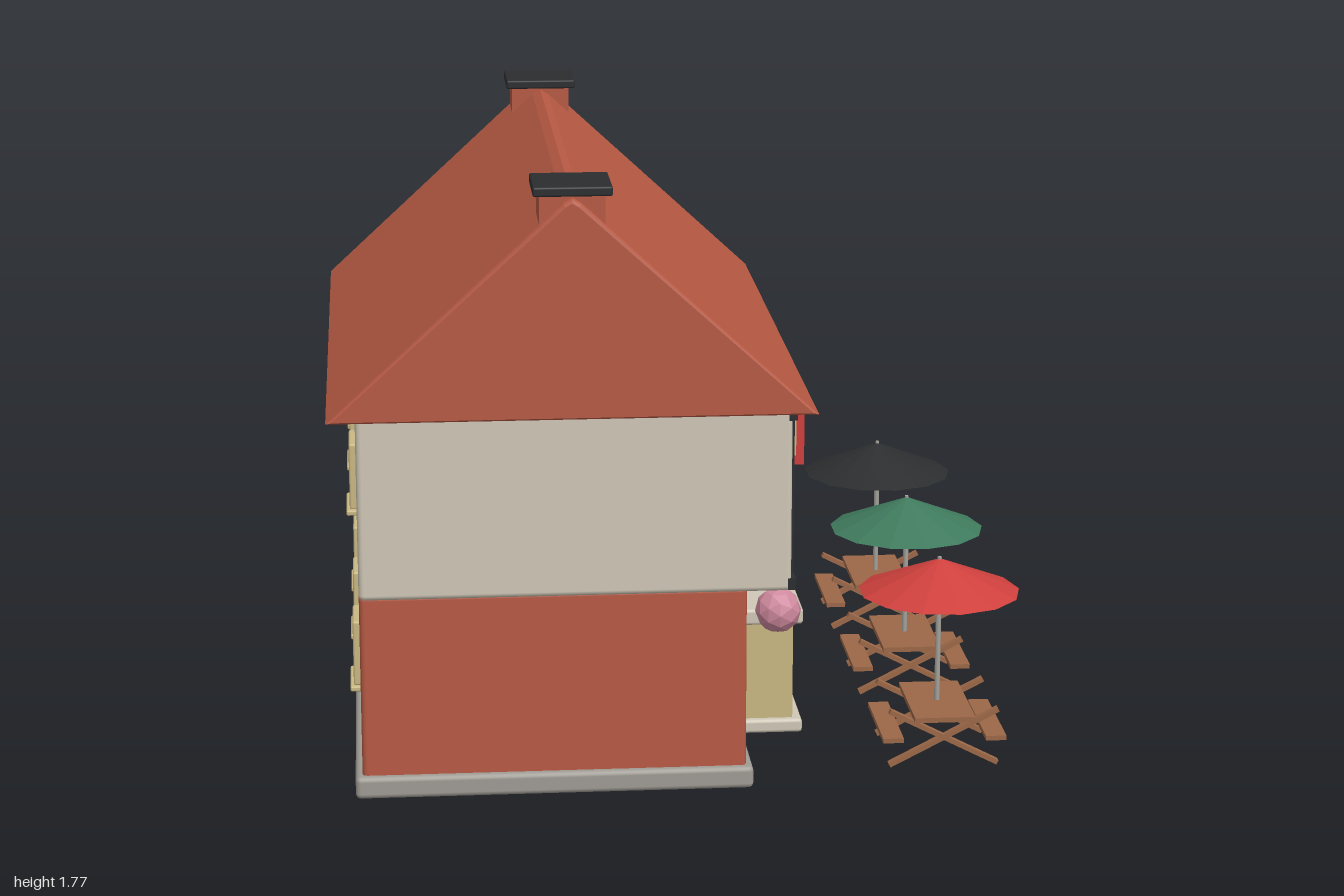
import * as THREE from 'three';
import { RoundedBoxGeometry } from 'three/addons/geometries/RoundedBoxGeometry.js';

const mat = (name, color, extra = {}) => {
  const m = new THREE.MeshStandardMaterial({ color, ...extra });
  m.name = name;
  return m;
};

export function createModel() {
  const brick = mat('brick red', 0xb85a44);
  const plaster = mat('plaster', 0xd0c8b7);
  const stone = mat('stone grey', 0x9f9b94);
  const timber = mat('black', 0x2b2d2f);
  const cream = mat('cream', 0xcbb984);
  const wood = mat('wood', 0x9c6848);
  const red = mat('red', 0xcf403d, { flatShading: true });
  const green = mat('green', 0x3f7a5d, { flatShading: true });
  const pink = mat('pink', 0xd08a9f, { flatShading: true });
  const pole = mat('pole grey', 0xa5a39c);

  const root = new THREE.Group();
  root.name = 'inn';

  const add = (name, geo, material, parent = root) => {
    const mesh = new THREE.Mesh(geo, material);
    mesh.name = name;
    parent.add(mesh);
    return mesh;
  };
  // Box given by its limits on each axis; r rounds the edges
  const box = (name, material, [x0, x1], [y0, y1], [z0, z1], r = 0, parent = root) => {
    const s = [x1 - x0, y1 - y0, z1 - z0];
    const geo = r ? new RoundedBoxGeometry(...s, 2, r) : new THREE.BoxGeometry(...s);
    const mesh = add(name, geo, material, parent);
    mesh.position.set((x0 + x1) / 2, (y0 + y1) / 2, (z0 + z1) / 2);
    return mesh;
  };
  const around = (c, half) => [c - half, c + half];
  const group = (name, x = 0, y = 0, z = 0) => {
    const g = new THREE.Group();
    g.name = name;
    g.position.set(x, y, z);
    root.add(g);
    return g;
  };

  // Walls
  box('plinth', stone, [-0.94, 0.19], [0, 0.065], [-0.935, 0.935], 0.015);
  box('lowerWalls', brick, [-0.92, 0.17], [0.01, 0.595], [-0.915, 0.915], 0.015);
  box('upperWalls', plaster, [-0.92, 0.29], [0.593, 1.125], [-0.955, 0.955], 0.015);

  // Gabled roof with softened edges
  const gable = new THREE.Shape([
    [-1, 1.11], [0.36, 1.11], [-0.295, 1.715], [-0.32, 1.73], [-0.345, 1.715],
  ].map(p => new THREE.Vector2(...p)));
  const bevel = 0.012;
  const roofGeo = new THREE.ExtrudeGeometry(gable, {
    depth: 1.97 - 2 * bevel, bevelEnabled: true, bevelThickness: bevel,
    bevelSize: bevel, bevelOffset: -bevel, bevelSegments: 2,
  });
  roofGeo.translate(0, 0, -0.985 + bevel);
  add('roof', roofGeo, brick);

  // Chimneys at both gables
  for (const s of [1, -1]) {
    box('chimney', brick, [-0.41, -0.23], [1.55, 1.738], around(s * 0.88, 0.09));
    box('chimneyCap', timber, [-0.428, -0.21], [1.735, 1.762], around(s * 0.88, 0.108), 0.006);
  }

  // Timber framing on the street side
  box('topBeam', timber, [0.28, 0.303], [1.088, 1.115], [-0.955, 0.955]);
  box('bottomBeam', timber, [0.28, 0.303], [0.597, 0.63], [-0.955, 0.955]);
  for (const z of [0.885, 0.555, 0.222, -0.222, -0.555, -0.885])
    box('post', timber, [0.28, 0.301], [0.6, 1.1], around(z, 0.017));
  for (const c of [0.555, -0.555]) {
    for (const s of [1, -1]) {
      const brace = box('brace', timber, [0.28, 0.3], around(0.865, 0.0135), around(c + s * 0.165, 0.135));
      brace.rotation.x = -s * 0.7;
    }
  }

  // Small windows; side is the outward x direction
  const windowAt = (side, x, y, z) => {
    box('window', cream, around(x + side * 0.008, 0.014), [y, y + 0.195], around(z, 0.082), 0.006);
    box('windowSill', cream, around(x + side * 0.012, 0.02), [y - 0.014, y + 0.002], around(z, 0.097), 0.005);
  };
  for (const z of [0.517, 0, -0.517]) windowAt(1, 0.29, 0.765, z);
  for (const y of [0.212, 0.745])
    for (const z of [0.48, 0, -0.48]) windowAt(-1, -0.92, y, z);

  // Bay windows
  for (const c of [0.555, -0.555]) {
    box('bayGlazing', cream, [0.15, 0.318], [0.14, 0.45], around(c, 0.215));
    box('bayRoof', plaster, [0.15, 0.345], [0.44, 0.487], around(c, 0.235), 0.01);
    box('baySill', plaster, [0.15, 0.345], [0.113, 0.153], around(c, 0.235), 0.01);
    for (const d of [-0.15, 0, 0.15])
      box('bayMullion', plaster, [0.3, 0.323], [0.15, 0.445], around(c + d, 0.009));
  }

  // Door and board above it
  box('door', timber, [0.15, 0.196], [0.035, 0.445], [-0.12, 0.12], 0.006);
  box('doorBoard', green, [0.16, 0.198], [0.505, 0.575], [-0.31, 0.31]);
  box('doorBoardPanel', cream, [0.197, 0.203], [0.522, 0.556], [-0.28, 0.28]);

  // Flower balls
  [[0.848, pink], [0.293, red], [-0.29, pink], [-0.855, pink]].forEach(([z, m]) =>
    add('flowerBall', new THREE.IcosahedronGeometry(0.066, 1), m).position.set(0.265, 0.505, z));

  // Hanging sign
  box('signBracket', timber, [0.28, 0.54], [0.709, 0.726], around(-0.845, 0.009));
  box('signBoard', red, [0.35, 0.545], [0.458, 0.692], around(-0.845, 0.01));
  box('signPanel', cream, [0.38, 0.518], [0.49, 0.662], around(-0.845, 0.013));

  // Picnic tables with parasols
  [[0.64, red], [0, green], [-0.64, timber]].forEach(([z, canopy]) => {
    const g = group('picnicTable', 0.76, 0, z);
    box('tableTop', wood, [-0.088, 0.088], [0.134, 0.149], [-0.16, 0.16], 0, g);
    for (const s of [1, -1]) {
      box('bench', wood, around(s * 0.15, 0.03), [0.075, 0.089], [-0.16, 0.16], 0, g);
      for (const t of [1, -1]) {
        const leg = box('leg', wood, around(0, 0.178), around(0.082, 0.007), around(t * 0.133, 0.011), 0, g);
        leg.rotation.z = s * 0.475;
      }
    }
    add('parasolPole', new THREE.CylinderGeometry(0.008, 0.008, 0.43, 8), pole, g).position.y = 0.355;
    const cone = new THREE.ConeGeometry(0.235, 0.098, 13, 1, false, Math.PI / 2);
    add('parasol', cone, canopy, g).position.y = 0.533;
    add('parasolTip', new THREE.CylinderGeometry(0.006, 0.006, 0.02, 8), pole, g).position.y = 0.576;
  });

  return root;
}
